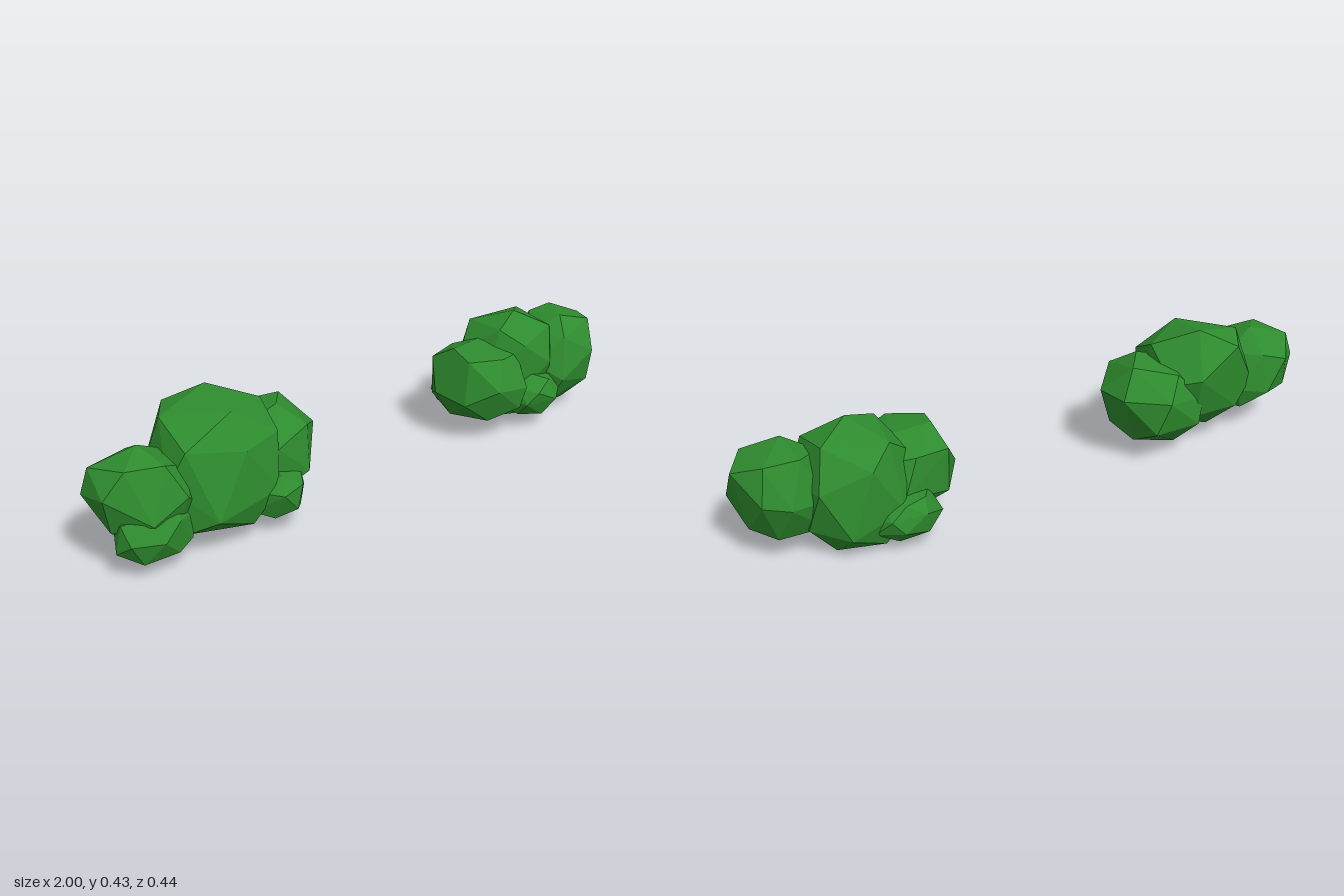
import * as THREE from 'three';
import { ConvexGeometry } from 'three/addons/geometries/ConvexGeometry.js';

const leaf = new THREE.MeshStandardMaterial({ color: 0x2e8b2e, flatShading: true });

function seeded(seed) {
  let s = seed * 7919 + 17;
  return () => (s = (s * 16807) % 2147483647) / 2147483647;
}

// Irregular faceted clump: the hull of jittered points spread over a ball,
// leaning towards its top by [x, z] and fitted to a box; a lower power is boxier
function clump(name, seed, min, max, lean = [0, 0], power = 0.92) {
  const rnd = seeded(seed);
  for (let i = 0; i < 5; i++) rnd();
  const turn = new THREE.Euler(rnd() * 6, rnd() * 6, rnd() * 6);
  const count = 22;
  const points = [];
  for (let i = 0; i < count; i++) {
    const y = 1 - (2 * i + 1) / count;
    const r = Math.sqrt(1 - y * y);
    const a = i * 2.39996;
    const p = new THREE.Vector3(r * Math.cos(a), y, r * Math.sin(a));
    p.x += (rnd() - 0.5) * 0.22;
    p.y += (rnd() - 0.5) * 0.22;
    p.z += (rnd() - 0.5) * 0.22;
    p.normalize().applyEuler(turn);
    p.set(...p.toArray().map((n) => Math.sign(n) * Math.abs(n) ** power));
    p.x += lean[0] * p.y;
    p.z += lean[1] * p.y;
    points.push(p);
  }
  const box = new THREE.Box3().setFromPoints(points);
  const size = box.getSize(new THREE.Vector3());
  const lo = new THREE.Vector3(...min);
  const span = new THREE.Vector3(...max).sub(lo);
  for (const p of points) p.sub(box.min).divide(size).multiply(span).add(lo);
  const mesh = new THREE.Mesh(new ConvexGeometry(points), leaf);
  mesh.name = name;
  return mesh;
}

function bush(name, clumps) {
  const g = new THREE.Group();
  g.name = name;
  for (const c of clumps) g.add(clump(...c));
  return g;
}

export function createModel() {
  const model = new THREE.Group();
  model.name = 'bushes';

  // Taller bush on the -x side
  model.add(bush('tallBush', [
    ['mainClump', 3, [-0.80, 0.04, -0.222], [-0.41, 0.425, 0.13], [0.12, -0.22], 0.75],
    ['outerClump', 8, [-1.0, 0.06, -0.195], [-0.68, 0.345, 0.08], [-0.2, 0]],
    ['innerClump', 5, [-0.6, 0.03, -0.222], [-0.245, 0.345, 0.1], [0.2, 0]],
    ['outerLowClump', 11, [-0.98, 0.03, -0.08], [-0.74, 0.2, 0.105]],
    ['innerLowClump', 14, [-0.57, 0.035, -0.06], [-0.365, 0.19, 0.16]],
  ]));

  // Lower bush on the +x side
  model.add(bush('lowBush', [
    ['mainClump', 21, [0.48, 0.0, -0.16], [0.82, 0.39, 0.16], [0, 0.08], 0.85],
    ['innerClump', 24, [0.315, 0.035, -0.13], [0.64, 0.31, 0.2], [-0.1, 0]],
    ['outerClump', 27, [0.68, 0.03, -0.085], [1.0, 0.345, 0.2], [0.25, -0.1]],
    ['frontLowClump', 30, [0.53, 0.035, 0.03], [0.74, 0.19, 0.222]],
    ['backLowClump', 33, [0.43, 0.03, -0.2], [0.66, 0.165, -0.02]],
  ]));
  return model;
}
